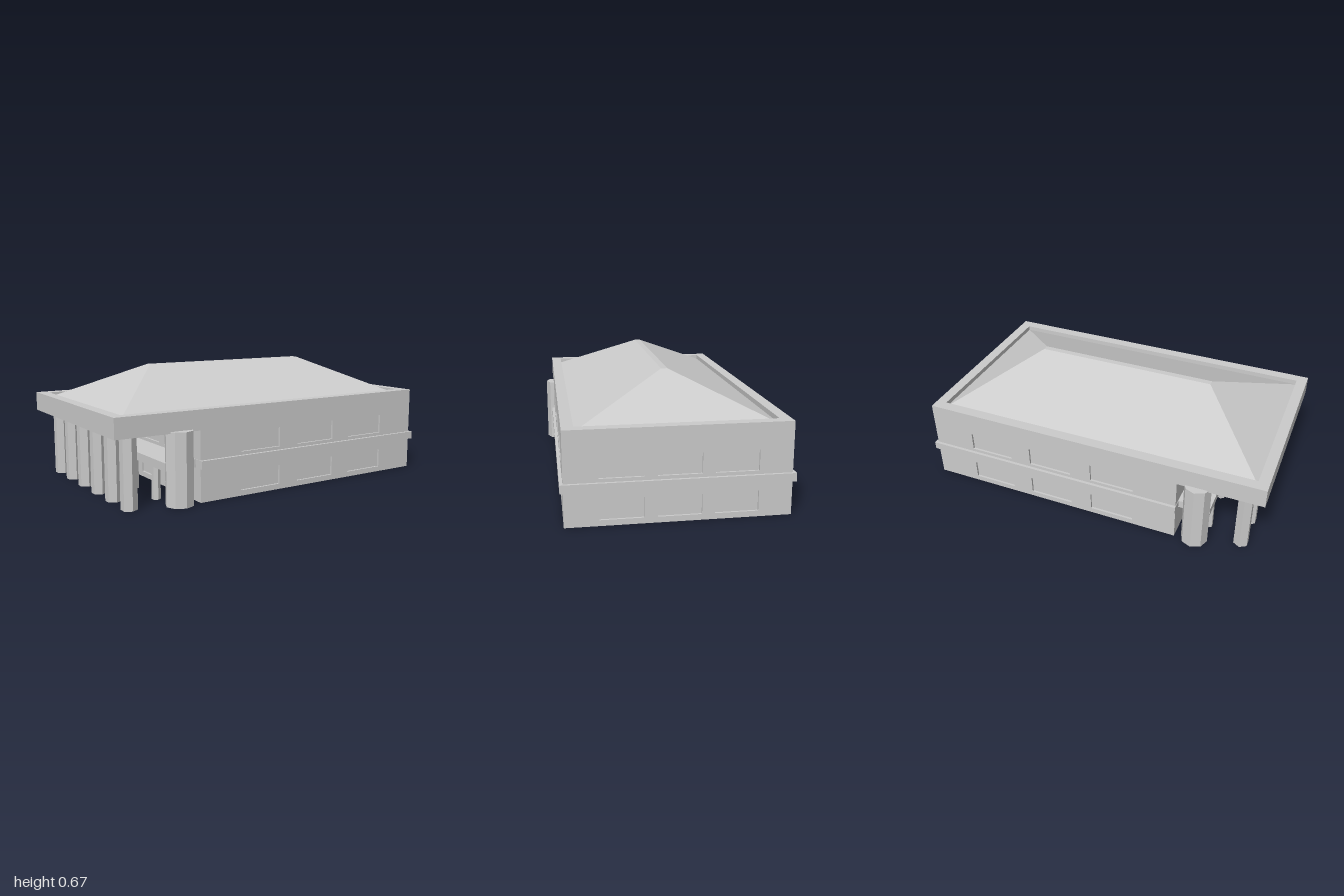
import * as THREE from 'three';

const mat = new THREE.MeshStandardMaterial({ color: 0xcccccc, flatShading: true, side: THREE.DoubleSide });
const X0 = -0.53, X1 = 0.98, Z = 0.566, EAVE = 0.378, TOP = 0.485, T = 0.012;

function add(parent, name, geo, x = 0, y = 0, z = 0) {
  const m = new THREE.Mesh(geo, mat);
  m.name = name;
  m.position.set(x, y, z);
  parent.add(m);
}

function rect(Type, x0, x1, y0, y1) {
  return new Type([[x0, y0], [x1, y0], [x1, y1], [x0, y1]].map(p => new THREE.Vector2(...p)));
}

// Window outline with a shallow pointed head
function windowOutline(Type, cx, w, y0, side, apex) {
  const h = w / 2;
  return new Type([[cx - h, y0], [cx + h, y0], [cx + h, side], [cx, apex], [cx - h, side]]
    .map(p => new THREE.Vector2(...p)));
}

const extrude = (shape, depth) => new THREE.ExtrudeGeometry(shape, { depth, bevelEnabled: false });

// Thin wall with two rows of recessed windows; its outer face lies at local z = 0
function makeWall(name, halfLength, centres, w) {
  const wall = new THREE.Group();
  wall.name = name;
  const shape = rect(THREE.Shape, -halfLength, halfLength, 0, EAVE);
  for (const [y0, side, apex] of [[0.03, 0.135, 0.157], [0.24, 0.346, 0.369]]) {
    for (const cx of centres) {
      shape.holes.push(windowOutline(THREE.Path, cx, w, y0, side, apex));
      add(wall, 'windowPane', new THREE.ShapeGeometry(windowOutline(THREE.Shape, cx, w, y0, side, apex)), 0, 0, -T);
    }
  }
  add(wall, 'wallPanel', extrude(shape, T), 0, 0, -T);
  return wall;
}

// Horizontal rectangular frame: outer and inner are [x0, x1, halfZ]
function frame(outer, inner, height) {
  const s = rect(THREE.Shape, outer[0], outer[1], -outer[2], outer[2]);
  s.holes.push(rect(THREE.Path, inner[0], inner[1], -inner[2], inner[2]));
  return extrude(s, height).rotateX(-Math.PI / 2);
}

// Truncated hip roof, open below, joining the base rectangle to a narrow ridge
function hipRoof() {
  const ring = (x0, x1, z, y) => [x0, y, z, x1, y, z, x1, y, -z, x0, y, -z];
  const g = new THREE.BufferGeometry();
  g.setAttribute('position', new THREE.Float32BufferAttribute(
    [...ring(-0.94, 0.92, 0.506, 0.458), ...ring(-0.53, 0.515, 0.017, 0.673)], 3));
  const idx = [4, 5, 6, 4, 6, 7];
  for (let i = 0; i < 4; i++) {
    const j = (i + 1) % 4;
    idx.push(i, j, j + 4, i, j + 4, i + 4);
  }
  g.setIndex(idx);
  const flat = g.toNonIndexed();
  flat.computeVertexNormals();
  return flat;
}

function column(parent, name, sides, r, h, x, z) {
  add(parent, name, new THREE.CylinderGeometry(r, r, h, sides), x, h / 2, z);
}

export function createModel() {
  const model = new THREE.Group();
  model.name = 'building';

  // Hollow two-storey body
  const mid = (X0 + X1) / 2, half = (X1 - X0) / 2;
  const longCentres = [-0.153, 0.226, 0.603].map(x => x - mid);
  const endCentres = [-0.285, 0, 0.285];
  const front = makeWall('frontWall', half, longCentres, 0.255);
  front.position.set(mid, 0, Z);
  const back = makeWall('backWall', half, longCentres.map(x => -x), 0.255);
  back.position.set(mid, 0, -Z);
  back.rotation.y = Math.PI;
  const left = makeWall('leftWall', Z - T, endCentres, 0.22);
  left.position.x = X1;
  left.rotation.y = Math.PI / 2;
  const right = makeWall('porchWall', Z - T, endCentres, 0.22);
  right.position.x = X0;
  right.rotation.y = -Math.PI / 2;
  model.add(front, back, left, right);

  // Band between the storeys
  add(model, 'stringCourse', frame([X0 - 0.002, 0.995, 0.582], [X0 + 0.02, X1 - 0.02, Z - 0.02], 0.044), 0, 0.178, 0);

  // Roof: raised rim, porch soffit and sunken hip
  add(model, 'roofRim', frame([-1, X1, Z], [-0.94, 0.92, 0.506], TOP - EAVE), 0, EAVE, 0);
  add(model, 'porchSoffit', new THREE.BoxGeometry(0.42, 0.01, 1.012), -0.73, EAVE + 0.005, 0);
  add(model, 'hipRoof', hipRoof());

  // Porch: large corner columns and an outer row
  for (const s of [-1, 1]) column(model, 'cornerColumn', 8, 0.075, 0.387, -0.638, s * 0.538);
  for (let i = 0; i < 6; i++) column(model, 'porchColumn', 6, 0.0435, EAVE, -0.887, -0.47 + i * 0.188);

  // Balcony on slender columns
  add(model, 'balcony', new THREE.BoxGeometry(0.18, 0.044, 1.04), -0.62, 0.2, 0);
  for (let i = 0; i < 4; i++) column(model, 'balconyColumn', 6, 0.024, 0.178, -0.685, -0.41 + i * 0.26);

  return model;
}
